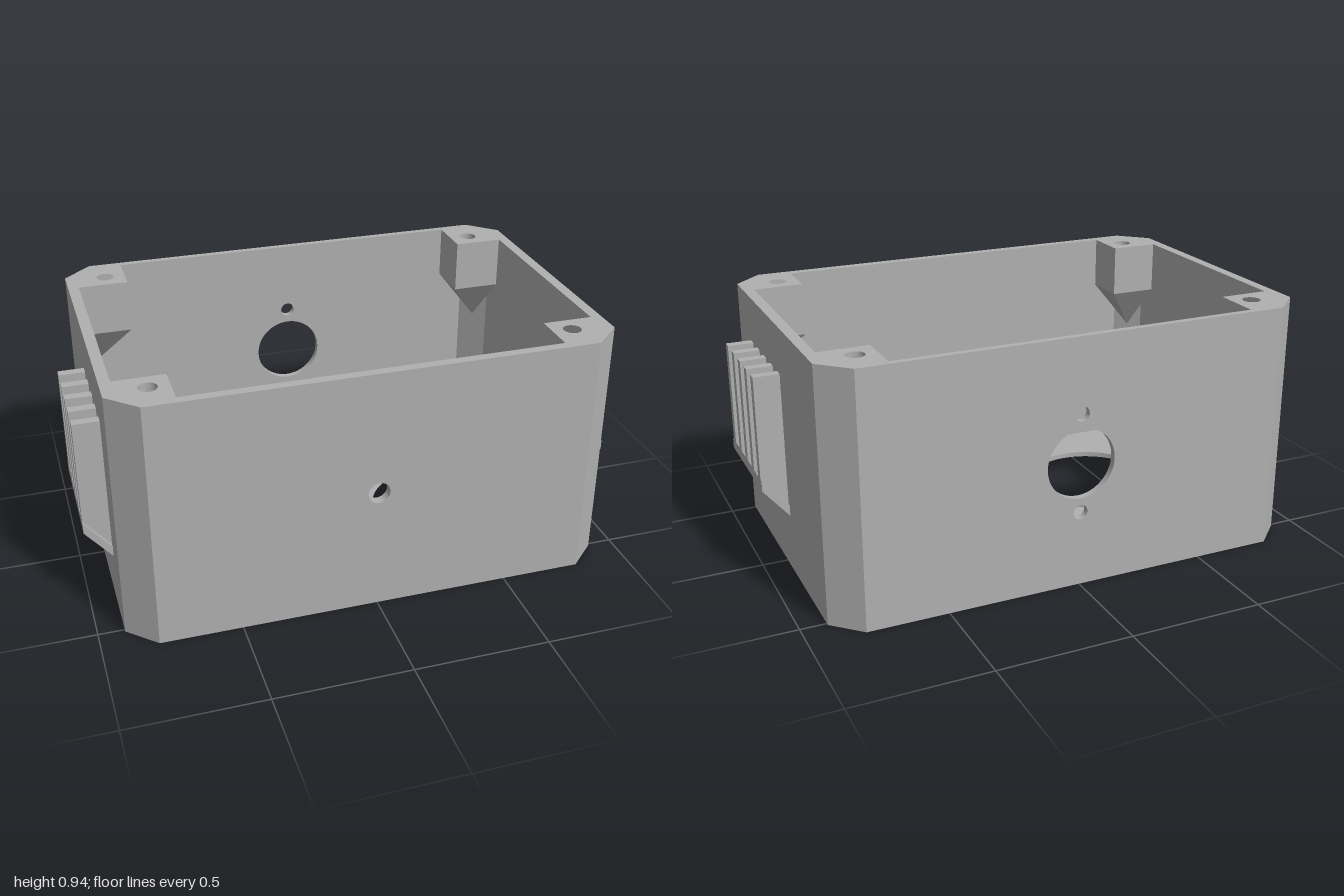
import * as THREE from 'three';
import { ConvexGeometry } from 'three/addons/geometries/ConvexGeometry.js';

const TOP = 0.935, FLOOR = 0.04, RECESS = 0.018;
const HX = 0.905, HZ = 0.61, CX = 0.8, CZ = 0.51; // outer half sizes and chamfer ends
const IX = 0.865, IXC = 0.78, IZC = 0.49;         // inner side wall and chamfer ends
const FRONT_IN = 0.575, BACK_IN = -0.585;
const PORT = { x: 0.415, z: 0.1, r: 0.245 };

// Shape from [x, y] points with round holes given as [x, y, radius]
function makeShape(points, holes = []) {
  const shape = new THREE.Shape(points.map(([x, y]) => new THREE.Vector2(x, y)));
  for (const [x, y, r] of holes) {
    const path = new THREE.Path();
    path.absarc(x, y, r, 0, Math.PI * 2, true);
    shape.holes.push(path);
  }
  return shape;
}

// Plate in the xy plane, from z0 to z1
function upright(points, holes, z0, z1) {
  const g = new THREE.ExtrudeGeometry(makeShape(points, holes), {
    depth: z1 - z0, bevelEnabled: false, curveSegments: 48,
  });
  return g.translate(0, 0, z0);
}

// Slab with an [x, z] footprint, from y0 to y1
function slab(points, holes, y0, y1) {
  const flip = ([x, z, r]) => [x, -z, r];
  const g = upright(points.map(flip), holes.map(flip), y0, y1);
  return g.rotateX(-Math.PI / 2);
}

const circle = (x, z, r, n = 48) => Array.from({ length: n }, (_, i) => {
  const a = (i / n) * Math.PI * 2;
  return [x + r * Math.cos(a), z + r * Math.sin(a)];
});

export function createModel() {
  const model = new THREE.Group();
  model.name = 'enclosure';
  const grey = new THREE.MeshStandardMaterial({ color: 0xb0b0b0 });
  grey.name = 'grey plastic';
  const add = (name, geometry) => {
    const mesh = new THREE.Mesh(geometry, grey);
    mesh.name = name;
    model.add(mesh);
  };

  // Floor with two ports, counterbored from below
  const outline = [[-CX, -HZ], [CX, -HZ], [HX, -CZ], [HX, CZ], [CX, HZ], [-CX, HZ], [-HX, CZ], [-HX, -CZ]];
  const ports = (r) => [-1, 1].map((s) => [s * PORT.x, PORT.z, r]);
  add('floorRecessLayer', slab(outline, ports(0.345), 0, RECESS));
  add('floor', slab(outline, ports(PORT.r), RECESS, FLOOR));

  // Front and back walls with their openings
  const wall = [[-IXC, FLOOR], [IXC, FLOOR], [IXC, TOP], [-IXC, TOP]];
  add('frontWall', upright(wall, [[0, 0.47, 0.04]], FRONT_IN, HZ));
  add('backWall', upright(wall,
    [[0, 0.47, 0.13], [0, 0.655, 0.027], [0, 0.285, 0.027]], -HZ, BACK_IN));

  for (const s of [-1, 1]) {
    const side = s > 0 ? 'left' : 'right';
    const mirror = (pts) => pts.map(([x, y]) => [s * x, y]);

    // Side wall including both chamfered corners
    add(side + 'Wall', slab(mirror([
      [IXC, -HZ], [CX, -HZ], [HX, -CZ], [HX, CZ], [CX, HZ], [IXC, HZ],
      [IXC, FRONT_IN], [IX, IZC], [IX, -IZC], [IXC, BACK_IN],
    ]), [], FLOOR, TOP));

    // Vent: sloping hood plate with upright fins
    add(side + 'VentHood', upright(
      mirror([[0.9, 0.215], [1, 0.335], [1, 0.375], [0.9, 0.255]]), [], -0.087, 0.358));
    for (let i = 0; i < 5; i++) {
      const z = -0.073 + i * 0.095;
      add(side + 'VentFin', upright(
        mirror([[0.9, 0.255], [1, 0.375], [1, 0.76], [0.9, 0.76]]), [], z, z + 0.035));
    }

    // Raised port rim with a tab toward the middle
    const r = 0.272, open = Math.asin(0.1275 / r);
    const rim = [[0.11, 0.2275], [0.11, -0.0275]];
    for (let i = 0; i <= 40; i++) {
      const a = -Math.PI + open + (i / 40) * 2 * (Math.PI - open);
      rim.push([PORT.x + r * Math.cos(a), PORT.z + r * Math.sin(a)]);
    }
    add(side + 'PortRim', slab(mirror(rim), [[s * PORT.x, PORT.z, PORT.r]], FLOOR, 0.06));

    // Screw bosses beside the port
    for (const [x, z] of [[0.175, 0.355], [0.655, -0.16]]) {
      add(side + 'ScrewBoss', slab(circle(s * x, z, 0.058), [[s * x, z, 0.032]], FLOOR, 0.165));
    }

    // Corner posts with a tapered underside
    for (const t of [-1, 1]) {
      const zIn = t > 0 ? FRONT_IN : -BACK_IN;
      const post = [[0.68, 0.405], [IX, 0.405], [IX, IZC], [IXC, zIn], [0.68, zIn]]
        .map(([x, z]) => [s * x, t * z]);
      add('cornerPost', slab(post, [[s * 0.755, t * 0.48, 0.033]], 0.735, TOP));
      const taper = post.map(([x, z]) => new THREE.Vector3(x, 0.735, z));
      taper.push(new THREE.Vector3(s * 0.823, 0.55, t * (IZC + zIn) / 2));
      add('cornerPostTaper', new ConvexGeometry(taper));
    }
  }

  // Raised block running to the back wall
  add('centreBlock', slab(
    [[-0.11, BACK_IN], [0.11, BACK_IN], [0.11, 0.065], [-0.11, 0.065]], [], FLOOR, 0.1));

  return model;
}
